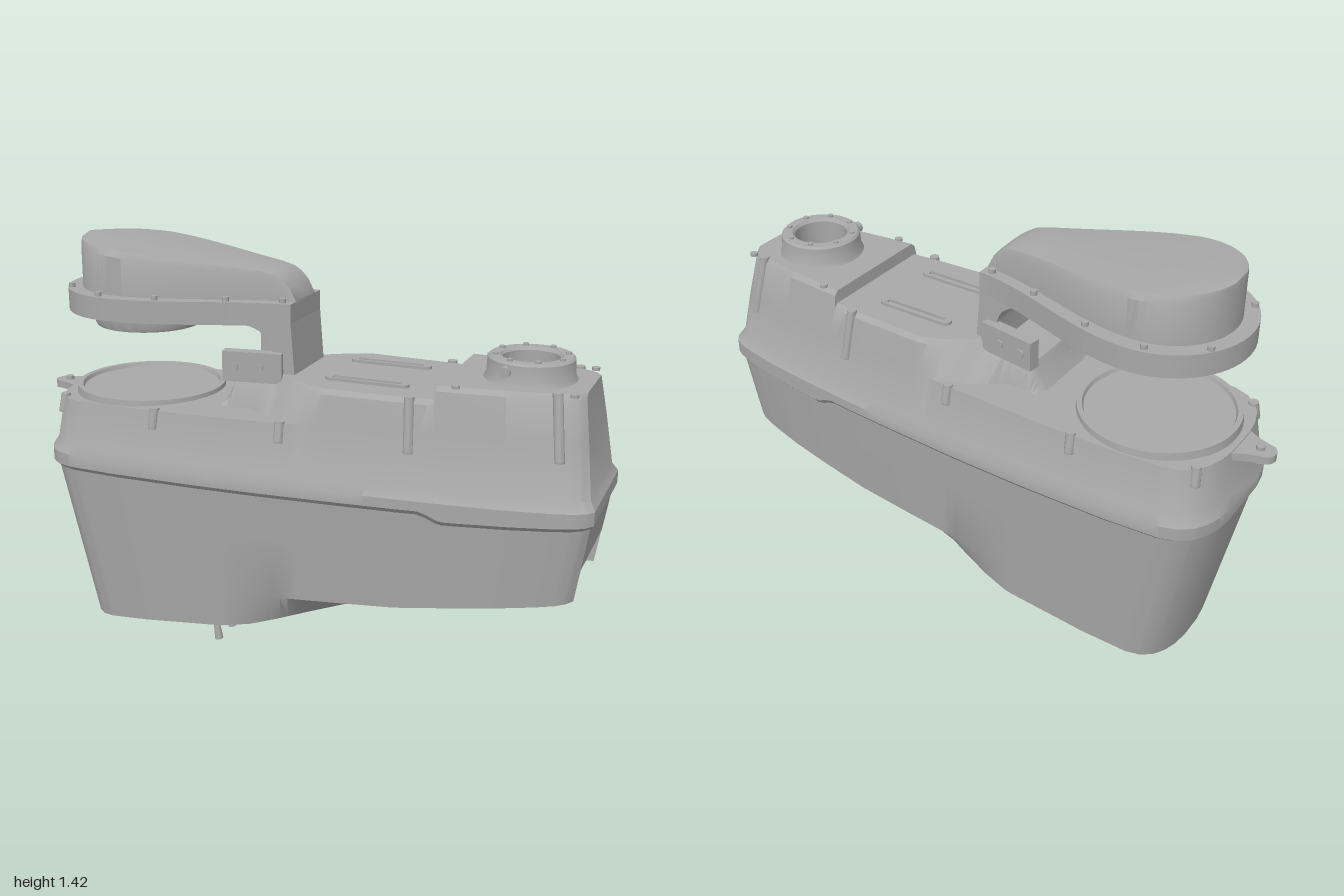
import * as THREE from 'three';
import { toCreasedNormals } from 'three/addons/utils/BufferGeometryUtils.js';

const casing = new THREE.MeshStandardMaterial({ color: 0xa8a8a8 });
casing.name = 'casing grey';

const V = (x, y, z) => new THREE.Vector3(x, y, z);
const { lerp, smoothstep, clamp } = THREE.MathUtils;

function add(parent, name, geo, x = 0, y = 0, z = 0) {
  const m = new THREE.Mesh(toCreasedNormals(geo, 0.55), casing);
  m.name = name;
  m.position.set(x, y, z);
  parent.add(m);
  return m;
}

// Piecewise linear lookup in a list of [x, value]
function at(table, x) {
  for (let i = 1; i < table.length; i++) {
    const [a, p] = table[i - 1], [b, q] = table[i];
    if (x <= b) return lerp(p, q, clamp((x - a) / (b - a), 0, 1));
  }
  return table[table.length - 1][1];
}

// Skin half-sections (bottom to top, +z side) along x, mirror them and cap both ends
function loft(rows, capFrom = 0) {
  const pos = [];
  const mir = p => V(p.x, p.y, -p.z);
  const tri = (...ps) => ps.forEach(p => pos.push(p.x, p.y, p.z));
  const quad = (a, b, c, d) => { tri(a, b, c); tri(a, c, d); };
  for (let i = 0; i + 1 < rows.length; i++)
    for (let j = 0; j + 1 < rows[i].length; j++) {
      const a = rows[i][j], b = rows[i + 1][j], c = rows[i + 1][j + 1], d = rows[i][j + 1];
      quad(a, b, c, d);
      quad(mir(d), mir(c), mir(b), mir(a));
    }
  const L = rows[0], R = rows[rows.length - 1];
  for (let j = 0; j + 1 < L.length; j++) {
    quad(L[j], L[j + 1], mir(L[j + 1]), mir(L[j]));
    if (j >= capFrom) quad(mir(R[j]), mir(R[j + 1]), R[j + 1], R[j]);
  }
  const g = new THREE.BufferGeometry();
  g.setAttribute('position', new THREE.Float32BufferAttribute(pos, 3));
  return g;
}

const lathe = (pts, n = 48) => new THREE.LatheGeometry(pts.map(p => new THREE.Vector2(...p)), n);
const cyl = (r, h, r2 = r, n = 16) => new THREE.CylinderGeometry(r, r2, h, n);

// Horizontal rounded plate, standing on y = 0
function plate(w, d, r, h, slot = 0) {
  const outline = (S, a, b, q) => {
    S.absarc(a - q, b - q, q, 0, Math.PI / 2);
    S.absarc(q - a, b - q, q, Math.PI / 2, Math.PI);
    S.absarc(q - a, q - b, q, Math.PI, 1.5 * Math.PI);
    S.absarc(a - q, q - b, q, 1.5 * Math.PI, 2 * Math.PI);
    S.closePath();
    return S;
  };
  const s = outline(new THREE.Shape(), w / 2, d / 2, r);
  if (slot) s.holes.push(outline(new THREE.Path(), w / 2 - slot, d / 2 - slot, r - slot));
  return new THREE.ExtrudeGeometry(s, { depth: h, bevelEnabled: false, curveSegments: 8 }).rotateX(-Math.PI / 2);
}

// Plan half-width at the seam, and the edge heights along the body
const seamZ = [[-.92, .1], [-.912, .16], [-.895, .21], [-.87, .25], [-.83, .281], [-.78, .298], [-.6, .315], [-.3, .325],
  [-.05, .325], [.2, .318], [.4, .31], [.6, .295], [.75, .28], [.88, .258], [.94, .242], [.97, .225], [.99, .2]];
const lipLow = [[-.92, .64], [.48, .672], [.54, .645], [.99, .665]];
const lipTop = [[-.92, .73], [.99, .755]];
const deckY = [[-.92, .878], [.22, .908], [.99, .92]];
const bellyY = [[-.8, .07], [-.1, .165], [0, .195], [.1, .228], [.42, .33], [.945, .41]];
const sideY = [[-.8, .2], [-.2, .28], [.42, .333], [.945, .411]];
const bellyWidth = [[-.2, 1], [.42, .48]];
const topY = [[-.33, 0], [-.26, .93], [-.235, .985], [-.2, 1], [-.08, 1.02], [.52, 1.02], [.526, 1.063]];
const flare = [[-.35, .12], [-.06, .135], [0, .185], [.1, .237], [.22, .275], [.3, .4]];
const chord = (r, x) => Math.sqrt(Math.max(0, r * r - (x - .73) ** 2));

// Point on the drafted wall
function wall(x0, y, inset = 0) {
  const e = Math.max(0, .66 - y), f = Math.max(0, y - .73);
  const x = lerp(-.92 + inset + .19 * e + .11 * f, .99 - inset - .15 * e - .14 * f, (x0 + .92) / 1.91);
  return V(x, y, at(seamZ, x0) - inset - .075 * e - .2 * f);
}

function bodySection(x0) {
  const xb = lerp(-.796, .942, (x0 + .92) / 1.91);
  const yb = at(bellyY, xb), low = at(deckY, x0), top = Math.max(low, at(topY, x0));
  const floor = wall(x0, yb, .012), side = wall(x0, Math.max(yb, at(sideY, xb)), .012);
  const w = floor.x > .73 ? .165 : chord(.165, floor.x);
  const ceil = w > 0 ? .52 : yb, cx = w > 0 ? wall(x0, .52, .012).x : floor.x;
  const rim = wall(x0, low, .015), crest = wall(x0, top, .015);
  const baseZ = Math.min(rim.z, at(flare, x0 + .09) + .02), topZ = Math.min(crest.z, at(flare, x0));
  return [
    V(cx, ceil, Math.min(w, chord(.1, cx))), V(cx, ceil, w), V(floor.x, yb, w),
    V(floor.x, yb, Math.max(w, floor.z * at(bellyWidth, xb))),
    V(side.x, side.y, Math.max(w, side.z)), wall(x0, .52, .012),
    wall(x0, at(lipLow, x0), .012), wall(x0, at(lipLow, x0) + .015), wall(x0, at(lipTop, x0) - .03),
    wall(x0, at(lipTop, x0), .015), rim, V(rim.x, low, baseZ),
    V(crest.x, Math.max(low, top - .015), topZ), V(crest.x, top, topZ - .015),
    V(crest.x, top, chord(.1, crest.x)),
  ];
}

// Teardrop plan: round end at x = -0.61 easing into a narrow neck
const tear = (x, r, neck) => x < -.61 ? Math.sqrt(Math.max(0, r * r - (x + .61) ** 2))
  : lerp(r, neck, smoothstep(x, -.61, 0));
function tearStations(r) {
  const xs = [];
  for (let i = 0; i <= 16; i++) xs.push(-.61 - r * Math.cos(i / 16 * Math.PI / 2));
  for (let i = 1; i <= 24; i++) xs.push(-.61 + .585 * i / 24);
  return xs;
}

export function createModel() {
  const model = new THREE.Group();
  model.name = 'machine';

  // Body with seam lip, raised deck and open pocket under the port
  const xs = seamZ.map(p => p[0]).concat(topY.map(p => p[0]));
  for (let x = -.88; x < .55; x += .03) xs.push(x);
  for (let x = .55; x < .99; x += .01) xs.push(x);
  xs.sort((a, b) => a - b);
  add(model, 'body', loft(xs.map(bodySection), 5));

  // Port tube right through the body
  add(model, 'port', lathe([[.15, 1.055], [.138, 1.075], [.135, 1.128], [.128, 1.135], [.098, 1.135],
    [.09, 1.125], [.09, .515], [.135, .515], [.135, .53]]), .73);
  for (let i = 0; i < 8; i++) {
    const a = (i + .5) * Math.PI / 4;
    add(model, 'portBolt', cyl(.009, .01), .73 + .113 * Math.cos(a), 1.137, .113 * Math.sin(a));
  }
  add(model, 'portPlug', cyl(.018, .04).rotateX(Math.PI / 2), .68, 1.105, .125);

  // Lower dish and locating lug
  add(model, 'dish', lathe([[.262, .86], [.257, .907], [.24, .907], [.235, .894], [0, .894]], 64), -.61);
  const lug = new THREE.Shape();
  lug.moveTo(-.86, -.09);
  lug.lineTo(-.86, .09);
  lug.quadraticCurveTo(-.91, .05, -.965, .036);
  lug.absarc(-.965, 0, .036, Math.PI / 2, 1.5 * Math.PI, false);
  lug.quadraticCurveTo(-.91, -.05, -.86, -.09);
  add(model, 'lug', new THREE.ExtrudeGeometry(lug, { depth: .026, bevelEnabled: false }).rotateX(-Math.PI / 2), 0, .848);
  add(model, 'lugPin', cyl(.014, .06), -.95, .857);

  // Arm column and side blocks
  const col = new THREE.Shape();
  col.moveTo(-.1, .93);
  col.lineTo(-.005, .93);
  col.lineTo(-.03, 1.25);
  col.lineTo(-.25, 1.25);
  col.lineTo(-.25, 1.175);
  col.quadraticCurveTo(-.1, 1.175, -.09, 1.09);
  col.lineTo(-.1, .93);
  add(model, 'column', new THREE.ExtrudeGeometry(col, { depth: .25, bevelEnabled: false }), 0, 0, -.125);
  for (const s of [1, -1]) {
    const g = new THREE.Group();
    g.name = 'sideBlock';
    g.position.set(-.15, 1.04, s * .142);
    g.rotation.y = s * .15;
    add(g, 'block', new THREE.BoxGeometry(.2, .1, .04));
    for (const x of [-.06, .025]) add(g, 'blockScrew', cyl(.014, .008).rotateX(Math.PI / 2), x, 0, s * .022);
    model.add(g);
  }

  // Overhanging head: flange, dome and lower disc
  add(model, 'headFlange', loft(tearStations(.27).map(x => {
    const z = tear(x, .27, .125);
    return [V(x, 1.175, 0), V(x, 1.175, z), V(x, 1.25, z), V(x, 1.25, 0)];
  })));
  const domeY = [[-.83, 1.412], [-.61, 1.395], [-.15, 1.345], [-.1, 1.335], [-.065, 1.315], [-.04, 1.285], [-.025, 1.25]];
  add(model, 'headDome', loft(tearStations(.22).map(x => {
    const z = tear(x, .22, .085), t = at(domeY, x);
    return [V(x, 1.235, 0), V(x, 1.235, z), V(x, Math.max(1.24, t - .02), z * .98),
      V(x, t, z * .92), V(x, t + .005, z * .5), V(x, t + .007, 0)];
  })));
  add(model, 'headDisc', lathe([[0, 1.135], [.155, 1.135], [.165, 1.12], [.18, 1.12], [.185, 1.13], [.185, 1.18]]), -.61);
  for (const x of [-.82, -.66, -.46, -.24, -.06])
    for (const s of [1, -1]) add(model, 'headBolt', cyl(.011, .02), x, 1.254, s * (tear(x, .27, .125) - .022));

  // Bolt ribs down the sides, deck rails and pad screws
  for (const [x, y0, y1] of [[-.87, .83, .885], [-.47, .835, .895], [0, .845, .905], [.44, .86, 1.022], [.91, .87, 1.065]]) {
    const a = wall(x, y0, .018), b = wall(x, y1, .018);
    for (const s of [1, -1]) {
      const path = new THREE.LineCurve3(V(a.x, a.y, s * a.z), V(b.x, b.y, s * b.z));
      add(model, 'boltRib', new THREE.TubeGeometry(path, 1, .016, 12));
      for (const p of [path.v1, path.v2]) add(model, 'boltHead', cyl(.016, .008), p.x, p.y, p.z);
    }
  }
  for (const s of [1, -1]) {
    add(model, 'deckRail', plate(.28, .04, .02, .012, .01), .235, 1.018, s * .118);
    for (const x of [.112, .358]) add(model, 'railScrew', cyl(.01, .012), x, 1.024, s * .118);
    for (const [x, z] of [[.55, .205], [.9, .165]]) add(model, 'padScrew', cyl(.013, .01), x, 1.065, s * z);
  }

  // Control panel on the underside
  const panel = new THREE.Group();
  panel.name = 'controlPanel';
  panel.position.set(-.48, .113, 0);
  panel.rotation.z = .135;
  add(panel, 'panelPlate', plate(.48, .42, .07, .014), 0, -.011);
  for (const z of [.107, 0, -.107]) {
    add(panel, 'toggleNut', cyl(.02, .025, .02, 6), .14, -.018, z);
    add(panel, 'toggleLever', cyl(.008, .11, .015), .145, -.075, z);
  }
  add(panel, 'button', cyl(.05, .025, .047, 32), -.15, -.02, -.05);
  add(panel, 'buttonCap', new THREE.SphereGeometry(.047, 24, 16).scale(1, .75, 1), -.15, -.03, -.05);
  for (const [x, z] of [[.02, .075], [-.1, .09]]) add(panel, 'knob', cyl(.024, .045, .018), x, -.03, z);
  add(panel, 'socket', new THREE.BoxGeometry(.03, .02, .09), .02, -.016, -.05);
  for (const x of [-.2, 0, .2])
    for (const z of [-.175, .175]) add(panel, 'panelScrew', cyl(.012, .014), x, -.015, z);
  model.add(panel);

  return model;
}
